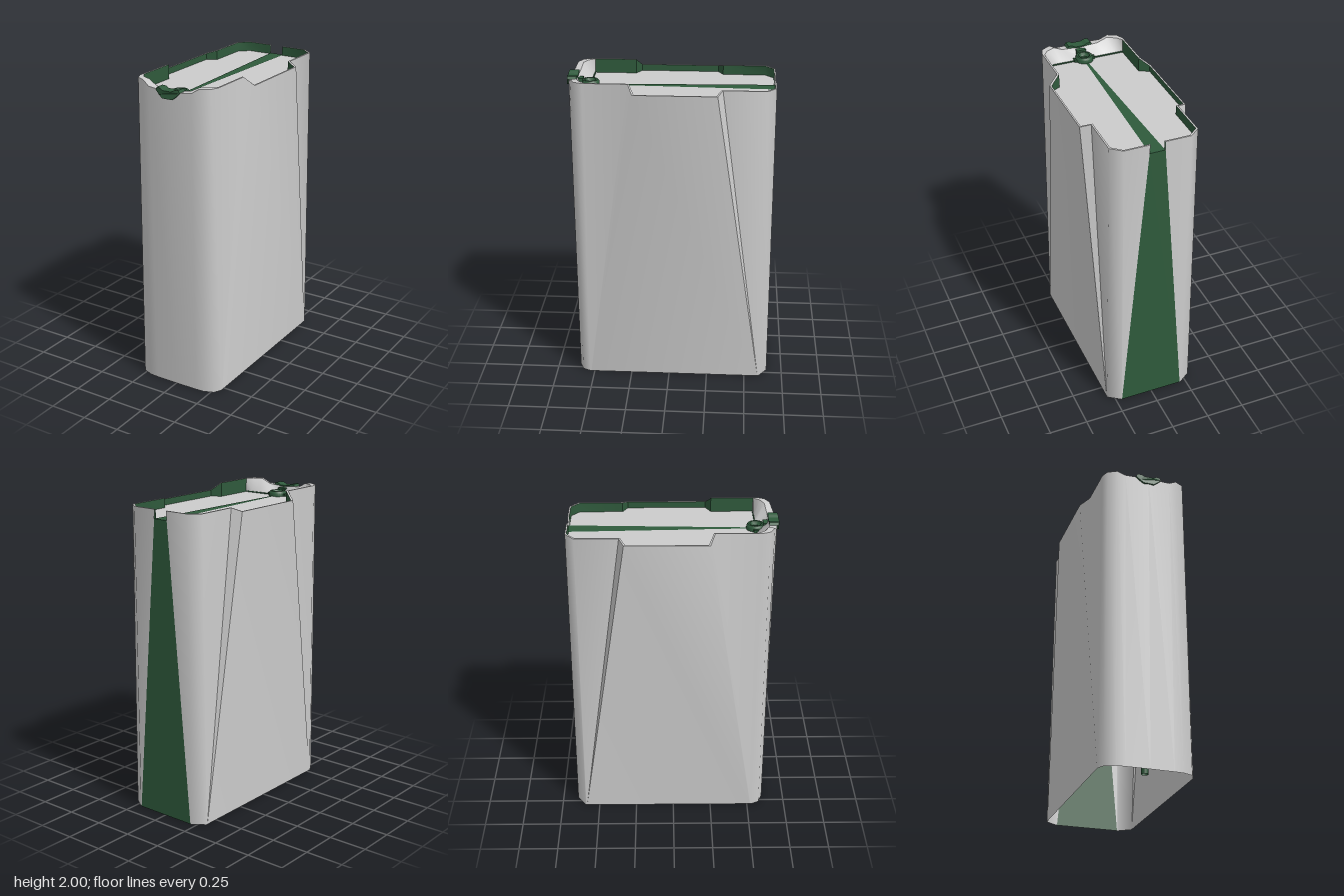
import * as THREE from 'three';
import { toCreasedNormals } from 'three/addons/utils/BufferGeometryUtils.js';

const grey = new THREE.MeshStandardMaterial({ color: 0xcccccc, side: THREE.DoubleSide });
const green = new THREE.MeshStandardMaterial({ color: 0x2f5a3c, side: THREE.DoubleSide });
const DECK = 1.91;
const PIPE_Z = 0.51;

// Half outline, rear centre to front centre:
// rim x, z, y | foot x, z | inner lip x, z | deck edge x, z
const HALF = [
  [0.045, -0.65, 1.97, 0.21, -0.65, 0.045, -0.64, 0.045, -0.64],
  [0.21, -0.65, 1.97, 0.215, -0.65, 0.205, -0.64, 0.205, -0.64],
  [0.277, -0.595, 1.97, 0.295, -0.595, 0.266, -0.587, 0.266, -0.587],
  [0.277, -0.325, 1.97, 0.295, -0.59, 0.266, -0.317, 0.266, -0.317],
  [0.338, -0.295, 1.95, 0.295, -0.585, 0.328, -0.285, 0.328, -0.285],
  [0.338, 0.22, 1.95, 0.295, 0.52, 0.328, 0.21, 0.328, 0.21],
  [0.277, 0.25, 2, 0.295, 0.525, 0.266, 0.243, 0.266, 0.243],
  [0.277, 0.53, 2, 0.295, 0.53, 0.266, 0.51, 0.266, 0.51],
  [0.257, 0.58, 2, 0.27, 0.58, 0.235, 0.55, 0.21, 0.51],
  [0.2, 0.61, 2, 0.205, 0.605, 0.18, 0.575, 0.15, 0.51],
  [0.15, 0.625, 1.97, 0.15, 0.608, 0.12, 0.585, 0.06, 0.51],
  [0, 0.645, 1.96, 0, 0.61, 0, 0.59, 0, 0.57],
];

// Full line of points around the body, mirrored across x
function line(pick) {
  const half = HALF.map(pick);
  return [...half, ...half.slice(0, -1).reverse().map(([x, y, z]) => [-x, y, z])];
}

// Skin between two lines of points
function strip(a, b, crease = 1.05) {
  const pos = [];
  for (let i = 0; i < a.length - 1; i++) {
    pos.push(...a[i], ...b[i], ...b[i + 1], ...a[i], ...b[i + 1], ...a[i + 1]);
  }
  const g = new THREE.BufferGeometry();
  g.setAttribute('position', new THREE.Float32BufferAttribute(pos, 3));
  g.computeVertexNormals();
  return toCreasedNormals(g, crease);
}

export function createModel() {
  const model = new THREE.Group();
  const add = (name, geometry, material, x = 0, y = 0, z = 0) => {
    const mesh = new THREE.Mesh(geometry, material);
    mesh.name = name;
    mesh.position.set(x, y, z);
    model.add(mesh);
    return mesh;
  };

  const foot = line((p) => [p[3], 0, p[4]]);
  const rim = line((p) => [p[0], p[2], p[1]]);
  const lip = line((p) => [p[5], p[2], p[6]]);
  const edge = line((p) => [p[7], DECK, p[8]]);

  // Open-bottomed body with raised side panels, and its rim
  add('bodyShell', strip(foot, rim), grey);
  add('rimLip', strip(rim, lip), grey);
  const f = 7, e = 15;
  add('rimInnerLeft', strip(lip.slice(0, f + 1), edge.slice(0, f + 1)), green);
  add('rimInnerRight', strip(lip.slice(e), edge.slice(e)), green);
  add('frontTray', strip(lip.slice(f, e + 1), edge.slice(f, e + 1)), grey);

  // Recessed deck with a hole for the pipe
  const shape = new THREE.Shape(edge.map(([x, , z]) => new THREE.Vector2(x, -z)));
  shape.holes.push(new THREE.Path().absarc(0, -PIPE_Z, 0.024, 0, Math.PI * 2));
  add('deck', new THREE.ShapeGeometry(shape, 10).rotateX(-Math.PI / 2), grey, 0, DECK, 0);

  // Tapering stripe down the back and along the deck
  add('backWedge', strip(
    [[-0.21, 0, -0.65], [0.21, 0, -0.65]],
    [[-0.05, DECK + 0.003, -0.65], [0.05, DECK + 0.003, -0.65]],
  ), green);
  const sy = DECK + 0.003;
  add('deckStripe', strip(
    [[-0.048, sy, -0.65], [-0.008, sy, 0.47]],
    [[0.048, sy, -0.65], [0.008, sy, 0.47]],
  ), green);

  // Ridge across the deck at the tray
  for (const s of [-1, 1]) {
    add('trayRidge', new THREE.BoxGeometry(0.21, 0.008, 0.006), green, s * 0.16, DECK + 0.003, PIPE_Z);
    add('collarWing', new THREE.BoxGeometry(0.025, 0.018, 0.03), green, s * 0.057, DECK + 0.008, PIPE_Z);
  }

  // Collar and the hollow pipe hanging inside the body
  const collar = [[0.058, 0], [0.057, 0.022], [0.048, 0.034], [0.036, 0.034], [0.03, 0.02], [0.021, 0.014], [0.021, -0.01]];
  add('pipeCollar', toCreasedNormals(
    new THREE.LatheGeometry(collar.map(([x, y]) => new THREE.Vector2(x, y)), 24), 0.6,
  ), green, 0, DECK, PIPE_Z);
  add('pipe', new THREE.CylinderGeometry(0.021, 0.021, DECK, 20, 1, true), green, 0, DECK / 2, PIPE_Z);

  // Pouring spout over the front rim, and its channel
  const side = [[0.035, 1.92], [0.06, 1.94], [0.085, 1.965], [0.075, 1.982], [0.05, 1.98], [0.03, 1.968]];
  const outline = [...side, ...side.map(([x, y]) => [-x, y]).reverse()];
  const spout = new THREE.ExtrudeGeometry(
    new THREE.Shape(outline.map(([x, y]) => new THREE.Vector2(x, y))),
    { depth: 0.065, bevelEnabled: false, steps: 1 },
  );
  // Sweep the spout's ends back and slope its foot
  const p = spout.attributes.position;
  for (let i = 0; i < p.count; i++) {
    const front = p.getZ(i) > 0.03;
    p.setZ(i, p.getZ(i) + 0.588 - (front ? 0.15 * Math.max(0, Math.abs(p.getX(i)) - 0.035) : 0));
  }
  spout.computeVertexNormals();
  add('spout', spout, green);
  add('spoutChannel', new THREE.BoxGeometry(0.06, 0.04, 0.05), green, 0, DECK + 0.025, 0.58);

  return model;
}
